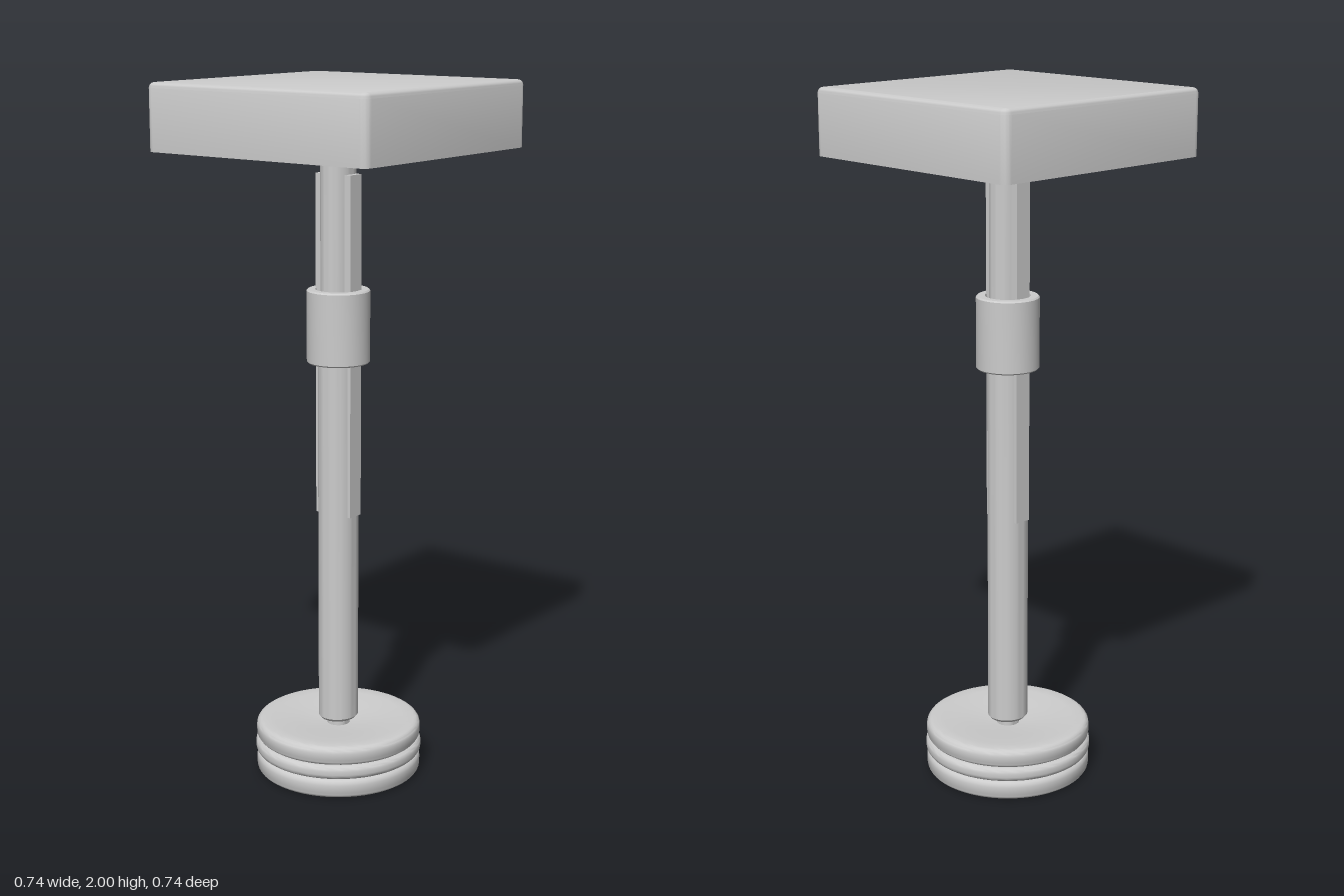
import * as THREE from 'three';
import { toCreasedNormals } from 'three/addons/utils/BufferGeometryUtils.js';

const material = new THREE.MeshStandardMaterial({ color: 0xcccccc });

function add(group, name, geometry) {
  const mesh = new THREE.Mesh(toCreasedNormals(geometry, 0.6), material);
  mesh.name = name;
  group.add(mesh);
  return mesh;
}

// Profile of [radius, y] pairs, running from the bottom up the outside
function lathe(points, segments = 48) {
  return new THREE.LatheGeometry(points.map(([r, y]) => new THREE.Vector2(r, y)), segments);
}

// Square slab with softened top edges and a sharp, flat underside
function slabGeometry(half, height, r) {
  const s = half - r, c = 0.008;
  const shape = new THREE.Shape();
  shape.moveTo(-s + c, -s);
  shape.lineTo(s - c, -s);
  shape.quadraticCurveTo(s, -s, s, -s + c);
  shape.lineTo(s, s - c);
  shape.quadraticCurveTo(s, s, s - c, s);
  shape.lineTo(-s + c, s);
  shape.quadraticCurveTo(-s, s, -s, s - c);
  shape.lineTo(-s, -s + c);
  shape.quadraticCurveTo(-s, -s, -s + c, -s);
  const geo = new THREE.ExtrudeGeometry(shape, {
    depth: height - r, bevelSize: r, bevelThickness: r, bevelSegments: 4, curveSegments: 4,
  });
  const pos = geo.attributes.position;
  for (let i = 0; i < pos.count; i++) pos.setZ(i, Math.max(0, pos.getZ(i)));
  return geo.rotateX(-Math.PI / 2);
}

export function createModel() {
  const group = new THREE.Group();

  // Round base: three stacked rims, shallow dish above and below
  const rim = (y0, y1, R, r) => {
    const pts = [];
    for (let i = 0; i <= 4; i++) {
      const a = (i / 4) * Math.PI / 2;
      pts.push([R - r + r * Math.sin(a), y0 + r - r * Math.cos(a)]);
    }
    for (let i = 0; i <= 4; i++) {
      const a = (i / 4) * Math.PI / 2;
      pts.push([R - r + r * Math.cos(a), y1 - r + r * Math.sin(a)]);
    }
    return pts;
  };
  add(group, 'base', lathe([
    [0, 0.018], [0.05, 0.016], [0.12, 0.008], [0.19, 0.001],
    ...rim(0, 0.058, 0.24, 0.018),
    ...rim(0.058, 0.1, 0.243, 0.016),
    ...rim(0.1, 0.155, 0.24, 0.018),
    [0.19, 0.154], [0.12, 0.147], [0.05, 0.139], [0, 0.137],
  ], 64));

  // Threaded stub under the base and narrow neck above it
  const thread = [[0, 0.002], [0.03, 0.002]];
  for (let i = 0; i < 3; i++) thread.push([0.04, 0.006 + i * 0.007], [0.033, 0.0095 + i * 0.007]);
  add(group, 'baseScrew', lathe(thread, 24));
  add(group, 'neck', new THREE.CylinderGeometry(0.033, 0.033, 0.05, 24)).position.y = 0.15;

  // Lower tube, slightly narrower across x
  const tube = lathe([[0, 0.158], [0.053, 0.158], [0.06, 0.166], [0.06, 1.3], [0, 1.3]]);
  tube.scale(0.94, 1, 1);
  add(group, 'lowerTube', tube);

  // Clamping collar with an open top lip
  add(group, 'collar', lathe([
    [0.056, 1.222], [0.085, 1.222], [0.089, 1.226], [0.089, 1.426], [0.085, 1.43],
    [0.064, 1.43], [0.06, 1.415], [0.04, 1.415],
  ]));

  // Sliding rod with a guide rail on each side
  const rod = new THREE.CylinderGeometry(0.057, 0.057, 0.62, 48);
  rod.scale(0.8, 1, 1);
  add(group, 'slidingRod', rod).position.y = 1.51;
  for (const side of [-1, 1]) {
    const rail = add(group, side > 0 ? 'leftRail' : 'rightRail', new THREE.BoxGeometry(0.032, 0.97, 0.05));
    rail.position.set(side * 0.045, 1.265, 0);
  }

  // Square top pad
  add(group, 'topPad', slabGeometry(0.368, 0.185, 0.015)).position.y = 1.815;

  return group;
}
